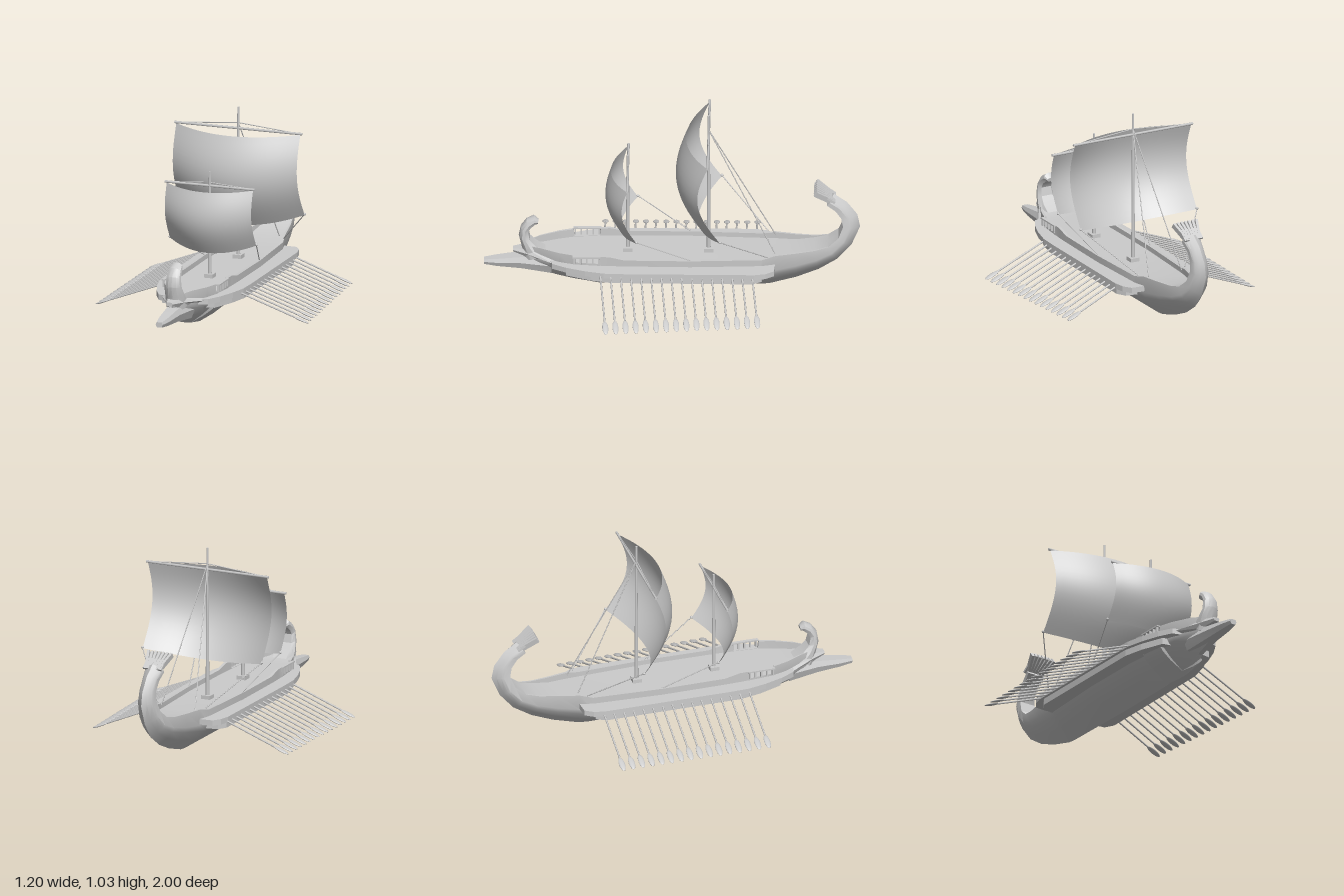
import * as THREE from 'three';
import { toCreasedNormals } from 'three/addons/utils/BufferGeometryUtils.js';

const grey = new THREE.MeshStandardMaterial({ color: 0xcccccc });
const thin = new THREE.MeshStandardMaterial({ color: 0xcccccc, side: THREE.DoubleSide });
const V = (x, y, z) => new THREE.Vector3(x, y, z);
const UP = V(0, 1, 0);

function add(parent, name, geometry, material = grey) {
  const mesh = new THREE.Mesh(geometry, material);
  mesh.name = name;
  parent.add(mesh);
  return mesh;
}

// Round bar between two points
function bar(parent, name, a, b, r1, r2 = r1, sides = 6) {
  const dir = b.clone().sub(a);
  const mesh = add(parent, name, new THREE.CylinderGeometry(r2, r1, dir.length(), sides));
  mesh.position.copy(a).add(b).multiplyScalar(0.5);
  mesh.quaternion.setFromUnitVectors(UP, dir.normalize());
  return mesh;
}

function box(parent, name, w, h, d, x, y, z) {
  const mesh = add(parent, name, new THREE.BoxGeometry(w, h, d));
  mesh.position.set(x, y, z);
  return mesh;
}

// Mirrored loft. Station: [zBottom, yBottom, zTop, yTop, halfWidth, deckDepth]
// Profile: pairs of [fraction of height, fraction of half width]
function loft(stations, profile, crease = 0.45) {
  const pos = [], index = [];
  let n = 0;
  for (const [zb, yb, zt, yt, w, depth = 0] of stations) {
    const at = (x, t, drop = 0) => [x, yb + (yt - yb) * t - drop, zb + (zt - zb) * t];
    const half = profile.map(([t, f]) => at(w * f, t));
    const inner = w * profile[profile.length - 1][1] * 0.9;
    half.push(at(inner, 1), at(inner, 1, depth));
    const ring = [at(0, 0), ...half, at(0, 1, depth),
      ...half.slice().reverse().map(([x, y, z]) => [-x, y, z])];
    n = ring.length;
    pos.push(...ring.flat());
  }
  for (let i = 0; i < stations.length - 1; i++) {
    for (let j = 0; j < n; j++) {
      const a = i * n + j, b = i * n + (j + 1) % n;
      index.push(a, a + n, b, b, a + n, b + n);
    }
  }
  const last = (stations.length - 1) * n;
  for (let j = 1; j < n - 1; j++) index.push(0, j, j + 1, last, last + j + 1, last + j);
  const g = new THREE.BufferGeometry();
  g.setAttribute('position', new THREE.Float32BufferAttribute(pos, 3));
  g.setIndex(index);
  return toCreasedNormals(g, crease);
}

// Flat slab from a plan outline of [x, z] points
function slab(outline, y, height) {
  const shape = new THREE.Shape(outline.map(([x, z]) => new THREE.Vector2(x, -z)));
  const g = new THREE.ExtrudeGeometry(shape, { depth: height, bevelEnabled: false });
  return g.rotateX(-Math.PI / 2).translate(0, y, 0);
}

// Mast, yard, billowing sail and its ropes
function rig(name, o) {
  const g = new THREE.Group();
  g.name = name;
  bar(g, 'mast', V(0, 0.2, o.z), V(0, o.mastTop, o.z), 0.011, 0.006, 8);
  box(g, 'mastStep', 0.05, 0.025, 0.05, 0, 0.213, o.z);
  bar(g, 'yard', V(-o.w - 0.01, o.top, o.z), V(o.w + 0.01, o.top, o.z), 0.007);
  const sail = new THREE.PlaneGeometry(2, 1, 20, 14);
  const p = sail.attributes.position;
  for (let i = 0; i < p.count; i++) {
    const u = p.getX(i), v = 0.5 - p.getY(i), belly = 1 - u * u;
    p.setXYZ(i, u * o.w,
      o.top - 0.005 - 0.01 * belly - v * (o.top - o.foot + o.sag * belly),
      o.z - o.rake * v + o.fill * Math.sin(Math.PI * v) + o.bulge * belly);
  }
  sail.computeVertexNormals();
  add(g, 'sail', sail, thin);
  for (const s of [1, -1]) {
    const corner = V(s * o.w, o.foot, o.z - o.rake);
    bar(g, 'lift', V(s * o.w, o.top, o.z), V(0, o.lift, o.z), 0.003, 0.003, 5);
    bar(g, 'sheet', corner, V(s * o.sheet[0], o.sheet[1], o.sheet[2]), 0.003, 0.003, 5);
    add(g, 'sheetKnot', new THREE.SphereGeometry(0.008, 8, 6)).position.copy(corner);
    if (o.stay) bar(g, 'stay', V(0, o.lift, o.z), V(s * o.stay[0], o.stay[1], o.stay[2]), 0.003, 0.003, 5);
  }
  return g;
}

// Oar with a flat rounded blade at its outer end
function oar(from, to) {
  const g = new THREE.Group();
  g.name = 'oar';
  const dir = to.clone().sub(from).normalize();
  bar(g, 'shaft', from, to.clone().addScaledVector(dir, -0.07), 0.005);
  const blade = add(g, 'blade', new THREE.SphereGeometry(1, 10, 8));
  blade.scale.set(0.006, 0.046, 0.017);
  blade.position.copy(to).addScaledVector(dir, -0.045);
  blade.quaternion.setFromUnitVectors(UP, dir);
  return g;
}

export function createModel() {
  const ship = new THREE.Group();
  ship.name = 'galley';

  // Hull with sunken deck, sweeping up into the curled stern
  const hullProfile = [[0.25, 0.5], [0.48, 0.86], [0.62, 0.98], [1, 1]];
  add(ship, 'hull', loft([
    [0.8, 0.11, 0.78, 0.24, 0.025, 0],
    [0.7, 0.075, 0.7, 0.25, 0.07, 0.04],
    [0.6, 0.045, 0.6, 0.25, 0.12, 0.045],
    [0.525, 0.026, 0.525, 0.25, 0.143, 0.045],
    [0.52, 0.025, 0.52, 0.207, 0.144, 0.002],
    [0.385, 0, 0.385, 0.207, 0.157, 0.002],
    [0.38, 0, 0.38, 0.25, 0.157, 0.045],
    [0.33, 0, 0.33, 0.25, 0.16, 0.045],
    [0.25, 0, 0.25, 0.232, 0.162, 0.027],
    [-0.1, 0, -0.1, 0.232, 0.165, 0.027],
    [-0.47, 0, -0.48, 0.232, 0.147, 0.027],
    [-0.52, 0.005, -0.55, 0.248, 0.13, 0.035],
    [-0.66, 0.045, -0.66, 0.25, 0.106, 0.03],
    [-0.78, 0.095, -0.76, 0.255, 0.085, 0.01],
    [-0.88, 0.16, -0.83, 0.27, 0.07],
    [-0.955, 0.25, -0.885, 0.315, 0.056],
    [-1, 0.36, -0.91, 0.38, 0.046],
    [-0.985, 0.435, -0.9, 0.43, 0.042],
    [-0.93, 0.51, -0.87, 0.475, 0.043],
    [-0.86, 0.56, -0.825, 0.515, 0.052],
  ], hullProfile));

  // Feathered fan at the tip of the stern
  const fan = new THREE.Group();
  fan.name = 'sternFan';
  fan.position.set(0, 0.535, -0.85);
  fan.rotation.x = -0.62;
  for (let i = -3; i <= 3; i++) {
    const feather = box(fan, 'feather', 0.014, 0.03, 0.115, i * 0.0175, 0, 0.05);
    feather.rotation.y = i * 0.09;
  }
  box(fan, 'fanPlate', 0.11, 0.012, 0.07, 0, 0.008, 0.02);
  ship.add(fan);

  // Curled stem ornament
  const round = [[0.08, 0.5], [0.3, 0.9], [0.6, 1], [1, 0.7]];
  add(ship, 'stemCurl', loft([
    [0.71, 0.388, 0.714, 0.367, 0.022],
    [0.735, 0.41, 0.728, 0.365, 0.032],
    [0.775, 0.388, 0.752, 0.345, 0.038],
    [0.805, 0.345, 0.765, 0.32, 0.041],
    [0.815, 0.29, 0.755, 0.275, 0.046],
    [0.8, 0.23, 0.72, 0.238, 0.055],
    [0.79, 0.15, 0.66, 0.2, 0.058],
  ], round));

  // Ram at the waterline and the smaller spur above it
  const blunt = [[0, 0.7], [0.55, 1], [1, 0.75]];
  add(ship, 'ram', loft([
    [1, 0.117, 1, 0.145, 0.02],
    [0.93, 0.11, 0.93, 0.155, 0.033],
    [0.8, 0.102, 0.8, 0.172, 0.044],
    [0.64, 0.085, 0.64, 0.18, 0.07],
  ], blunt, 0.2));
  add(ship, 'spur', loft([
    [0.845, 0.195, 0.845, 0.215, 0.018],
    [0.77, 0.175, 0.77, 0.222, 0.05],
    [0.62, 0.165, 0.62, 0.2, 0.13],
  ], blunt, 0.2));

  // Outriggers: wide upper ledge and narrower oar box beneath
  const ledge = [[0.09, 0.65], [0.14, 0.635], [0.18, 0.56], [0.215, 0.46], [0.238, 0.36],
    [0.242, 0.25], [0.242, -0.44], [0.23, -0.5], [0.2, -0.545], [0.12, -0.55]];
  const oarBox = [[0.09, 0.57], [0.15, 0.56], [0.2, 0.43], [0.225, 0.32],
    [0.228, -0.43], [0.2, -0.48], [0.12, -0.49]];
  for (const s of [1, -1]) {
    const side = (pts) => (s > 0 ? pts : pts.map(([x, z]) => [-x, z]));
    add(ship, 'outriggerLedge', slab(side(ledge), 0.165, 0.03));
    add(ship, 'outriggerBox', slab(side(oarBox), 0.13, 0.036));

    // Open railing set into the bulwark
    const rail = new THREE.Group();
    rail.name = 'railing';
    rail.position.set(s * 0.155, 0.227, 0.452);
    box(rail, 'topRail', 0.018, 0.008, 0.15, 0, 0.019, 0);
    for (let i = 0; i < 5; i++) box(rail, 'post', 0.014, 0.042, 0.008, 0, 0, -0.064 + i * 0.032);
    ship.add(rail);
  }

  // Banks of oars, the left bank swept slightly back
  for (let i = 0; i < 16; i++) {
    const z = -0.445 + i * 0.0538, t = i / 15;
    ship.add(oar(V(-0.2, 0.185, z), V(-0.6, 0.033, z)));
    ship.add(oar(V(0.2, 0.185, z + 0.018), V(0.545 + 0.055 * t, 0.045 - 0.012 * t, z - 0.02)));
  }

  // Main and fore rigs
  ship.add(rig('mainRig', { z: -0.195, mastTop: 1.035, w: 0.352, top: 0.917, foot: 0.46, sag: 0.045,
    rake: 0.065, fill: 0.085, bulge: 0.12, lift: 0.948, sheet: [0.14, 0.245, -0.51], stay: [0.1, 0.245, -0.55] }));
  ship.add(rig('foreRig', { z: 0.235, mastTop: 0.787, w: 0.245, top: 0.707, foot: 0.392, sag: 0.03,
    rake: 0.05, fill: 0.052, bulge: 0.09, lift: 0.725, sheet: [0.155, 0.23, -0.1] }));
  return ship;
}
